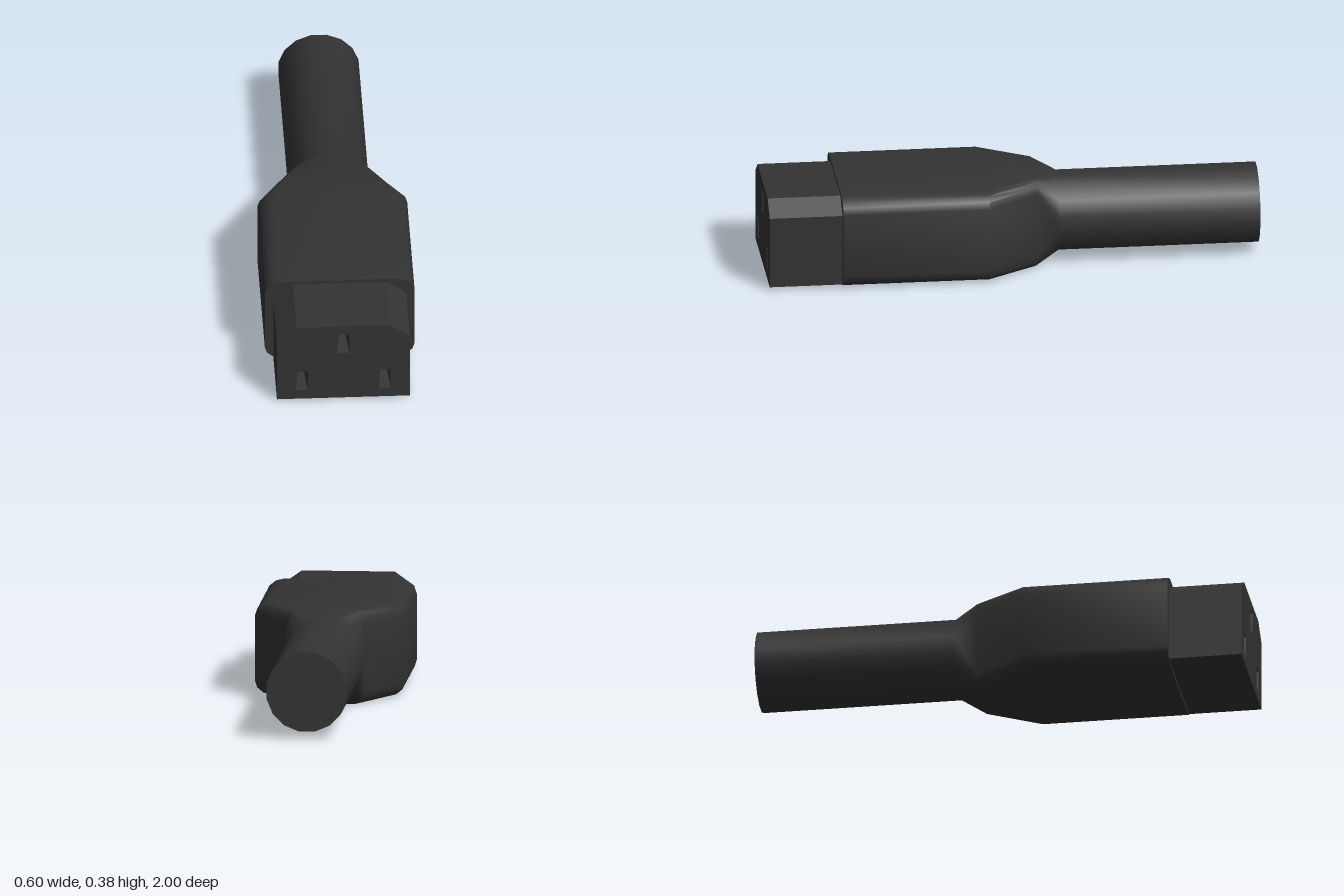
import * as THREE from 'three';
import { toCreasedNormals } from 'three/addons/utils/BufferGeometryUtils.js';

const CENTRE_Y = 0.191;

// Skin a list of counter-clockwise rings running front to back (clockwise rings face inward)
function loft(rings, { startCap = false, endCap = false, crease = 0.1 } = {}) {
  const n = rings[0].length;
  const index = [];
  for (let r = 0; r < rings.length - 1; r++) {
    for (let i = 0; i < n; i++) {
      const a = r * n + i, b = r * n + (i + 1) % n;
      index.push(a, a + n, b, b, a + n, b + n);
    }
  }
  const last = (rings.length - 1) * n;
  for (let i = 1; i < n - 1; i++) {
    if (startCap) index.push(0, i, i + 1);
    if (endCap) index.push(last, last + i + 1, last + i);
  }
  const geometry = new THREE.BufferGeometry();
  geometry.setAttribute('position', new THREE.Float32BufferAttribute(rings.flat(2), 3));
  geometry.setIndex(index);
  return toCreasedNormals(geometry, crease);
}

const ringAt = (points, z) => points.map(([x, y]) => [x, y, z]);

// Sixteen-point rounded rectangle, four points in each corner
function bodyRing(scaleX, z) {
  const quarter = [[0.302, 0.134], [0.293, 0.161], [0.268, 0.181], [0.233, 0.19]];
  const mirror = (sx, sy) => quarter.map(([x, y]) => [sx * x * scaleX, CENTRE_Y + sy * y]);
  return ringAt([
    ...mirror(1, 1), ...mirror(-1, 1).reverse(),
    ...mirror(-1, -1), ...mirror(1, -1).reverse(),
  ], z);
}

// Sixteen-sided circle whose points line up with the body ring
function cableRing(z) {
  const points = [];
  for (let i = 0; i < 16; i++) {
    const angle = (i + 0.5) * Math.PI / 8;
    points.push([0.1645 * Math.cos(angle), CENTRE_Y + 0.002 + 0.1645 * Math.sin(angle)]);
  }
  return ringAt(points, z);
}

// Clockwise rectangle, used for the pin holes
const slotOutline = (cx, cy, hw, hh) => [
  [cx - hw, cy - hh], [cx - hw, cy + hh], [cx + hw, cy + hh], [cx + hw, cy - hh],
];

export function createModel() {
  const group = new THREE.Group();
  const material = new THREE.MeshStandardMaterial({ color: 0x333333 });
  const add = (name, geometry) => {
    const mesh = new THREE.Mesh(geometry, material);
    mesh.name = name;
    group.add(mesh);
    return mesh;
  };

  // Grip body narrowing into the round cable
  add('bodyAndCable', loft([
    bodyRing(1, 0.705), bodyRing(1, 0.11), bodyRing(0.51, -0.095),
    cableRing(-0.19), cableRing(-1),
  ], { startCap: true, endCap: true, crease: 0.75 }));

  // Connector nose with two chamfered upper corners
  const nose = [
    [-0.268, 0.013], [0.268, 0.013], [0.268, 0.31],
    [0.188, 0.367], [-0.188, 0.367], [-0.268, 0.31],
  ];
  add('connectorNose', loft([ringAt(nose, 1), ringAt(nose, 0.705)]));

  // Front face with three openings, each lined by a tapering pin socket
  const face = new THREE.Shape(nose.map(([x, y]) => new THREE.Vector2(x, y)));
  for (const [name, x, y] of [
    ['earthSocket', 0, 0.281], ['leftSocket', 0.167, 0.101], ['rightSocket', -0.167, 0.101],
  ]) {
    const mouth = slotOutline(x, y, 0.024, 0.046);
    const floor = slotOutline(x, y, 0.012, 0.023);
    face.holes.push(new THREE.Path(mouth.map(([px, py]) => new THREE.Vector2(px, py))));
    add(name, loft([ringAt(mouth, 1), ringAt(floor, 0.88)], { endCap: true }));
  }
  add('connectorFace', new THREE.ShapeGeometry(face)).position.z = 1;

  return group;
}
